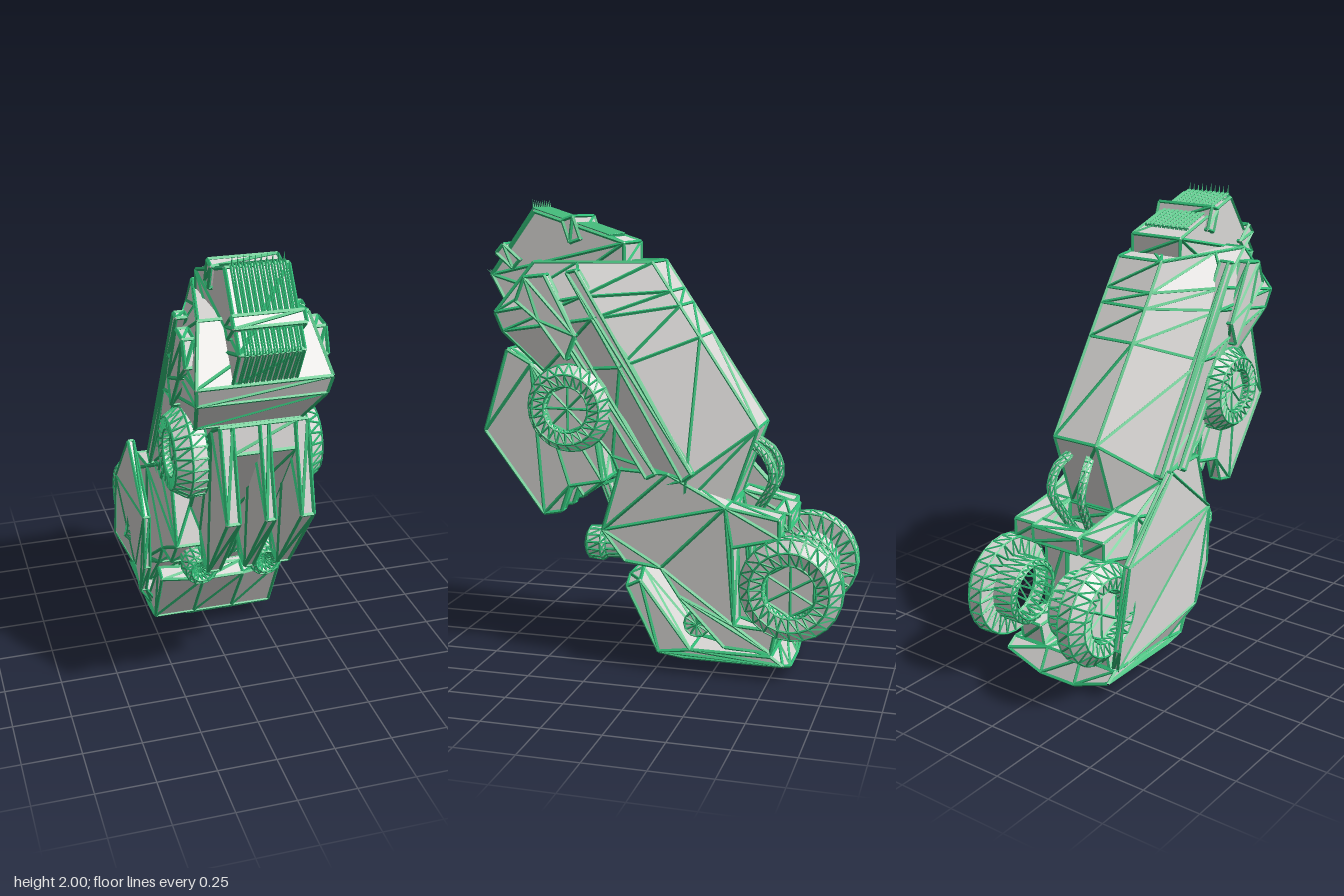
import * as THREE from 'three';
import { mergeGeometries } from 'three/addons/utils/BufferGeometryUtils.js';

const V = (x, y, z) => new THREE.Vector3(x, y, z);

// Flat-shaded copy of a geometry
function flat(geo) {
  const g = geo.index ? geo.toNonIndexed() : geo;
  g.deleteAttribute('uv');
  g.clearGroups();
  g.computeVertexNormals();
  return g;
}

// Thin rods along every triangle edge
function edgeRods(geo, radius) {
  const p = geo.attributes.position, seen = new Set(), rods = [];
  const key = (v) => v.toArray().map((n) => Math.round(n * 1000)).join();
  for (let i = 0; i < p.count; i += 3) {
    for (let k = 0; k < 3; k++) {
      const a = V().fromBufferAttribute(p, i + k);
      const b = V().fromBufferAttribute(p, i + ((k + 1) % 3));
      const id = [key(a), key(b)].sort().join('|');
      const d = b.clone().sub(a), len = d.length();
      if (seen.has(id) || len < 0.002) continue;
      seen.add(id);
      const rod = new THREE.CylinderGeometry(radius, radius, len, 4, 1, true);
      rod.applyQuaternion(new THREE.Quaternion().setFromUnitVectors(V(0, 1, 0), d.normalize()));
      rod.translate((a.x + b.x) / 2, (a.y + b.y) / 2, (a.z + b.z) / 2);
      rods.push(flat(rod));
    }
  }
  return mergeGeometries(rods);
}

// Side outline of [z, y] points, extruded along x
function slab(outline, x0, x1, steps = 1) {
  const shape = new THREE.Shape(outline.map(([z, y]) => new THREE.Vector2(z, y)));
  const g = new THREE.ExtrudeGeometry(shape, { depth: x1 - x0, steps, bevelEnabled: false });
  return g.rotateY(-Math.PI / 2).translate(x1, 0, 0);
}

// Closed body through six-cornered stations: [z, y, halfWidth] for back, middle and front
function loft(stations) {
  const pos = [], idx = [], n = 6;
  for (const [b, m, f] of stations) {
    for (const [s, q] of [[-1, b], [1, b], [1, m], [1, f], [-1, f], [-1, m]]) pos.push(s * q[2], q[1], q[0]);
  }
  for (let r = 0; r < stations.length - 1; r++) {
    for (let i = 0; i < n; i++) {
      const a = r * n + i, b = r * n + ((i + 1) % n);
      idx.push(a, b, b + n, a, b + n, a + n);
    }
  }
  const e = (stations.length - 1) * n;
  for (let i = 1; i < n - 1; i++) idx.push(0, i + 1, i, e, e + i, e + i + 1);
  // Turn the faces outward if the enclosed volume is negative
  let vol = 0;
  const at = (i) => V().fromArray(pos, i * 3);
  for (let i = 0; i < idx.length; i += 3) vol += at(idx[i]).dot(at(idx[i + 1]).cross(at(idx[i + 2])));
  if (vol < 0) idx.reverse();
  const g = new THREE.BufferGeometry();
  g.setAttribute('position', new THREE.Float32BufferAttribute(pos, 3));
  g.setIndex(idx);
  return g;
}

export function createModel() {
  const grey = new THREE.MeshStandardMaterial({ color: 0xd9d7d5 });
  const green = new THREE.MeshStandardMaterial({ color: 0x2fb974 });
  grey.name = 'panel grey';
  green.name = 'edge green';

  const model = new THREE.Group();
  const body = new THREE.Group();
  body.name = 'body';
  body.position.x = 0.02;
  model.add(body);

  // A grey part with its green edging
  function part(name, geo, radius = 0.008, parent = body) {
    const g = flat(geo), group = new THREE.Group();
    group.name = name;
    const panels = new THREE.Mesh(g, grey), edges = new THREE.Mesh(edgeRods(g, radius), green);
    panels.name = name + 'Panels';
    edges.name = name + 'Edges';
    group.add(panels, edges);
    parent.add(group);
  }

  // Main hull, leaning forward: narrow spine, sloping flanks, broad front shoulder
  part('hull', loft([
    [[0.05, 1.74, 0.11], [0.36, 1.74, 0.18], [0.54, 1.74, 0.22]],
    [[-0.03, 1.62, 0.112], [0.32, 1.6, 0.255], [0.70, 1.53, 0.27]],
    [[-0.07, 1.56, 0.112], [0.27, 1.51, 0.265], [0.67, 1.45, 0.26]],
    [[-0.157, 1.43, 0.112], [0.15, 1.31, 0.26], [0.5, 1.28, 0.22]],
    [[-0.41, 1.05, 0.11], [-0.13, 0.84, 0.24], [0.2, 0.92, 0.21]],
    [[-0.3, 0.73, 0.11], [-0.12, 0.73, 0.22], [0.14, 0.76, 0.2]],
  ]));

  // Grille head with slats and cross bars
  part('head', slab([[0.77, 1.68], [0.57, 1.95], [0.17, 1.82], [0.17, 1.72], [0.5, 1.6], [0.69, 1.53]], -0.125, 0.125));
  const slat = [[0.785, 1.68], [0.58, 1.965], [0.24, 1.855], [0.3, 1.7], [0.69, 1.525]];
  for (let i = 0; i < 10; i++) {
    const x = -0.101 + i * 0.0225;
    part('grilleSlat', slab(slat, x - 0.005, x + 0.005), 0.004);
    for (const [z, y, tilt] of [[0.583, 1.975, 0.1], [0.785, 1.685, 0.9]]) {
      const tip = new THREE.Mesh(flat(new THREE.ConeGeometry(0.006, 0.05, 4).rotateX(tilt).translate(x, y, z)), green);
      tip.name = 'slatTip';
      body.add(tip);
    }
  }
  for (const [z, y, tilt] of [[0.4, 1.875, 0.33], [0.69, 1.76, 0.85]]) {
    part('crossBar', new THREE.BoxGeometry(0.28, 0.1, 0.05).rotateX(tilt).translate(0, y, z));
  }

  // Nose: a recessed underside between three deep ribs
  const noseBack = [[0.26, 0.8], [0.3, 1.05], [0.58, 1.3]];
  const rib = [[0.69, 1.36], [0.8, 1.0], [0.53, 0.64], [0.45, 0.655], [0.41, 0.77], ...noseBack];
  part('nosePlate', slab([[0.69, 1.36], [0.71, 1.25], [0.36, 0.72], ...noseBack], -0.13, 0.13));
  part('noseCentreRib', slab(rib, -0.018, 0.018));

  for (const s of [-1, 1]) {
    const span = (a, b) => (s > 0 ? [a, b] : [-b, -a]);
    const side = s > 0 ? 'left' : 'right';

    part(side + 'NoseRib', slab(rib, ...span(0.125, 0.175)));

    // Long parallel rails lying on the flank, and the shoulder guard
    part(side + 'UpperRail', slab([[0.38, 1.7], [0.34, 1.71], [-0.16, 0.87], [-0.12, 0.84]], ...span(0.22, 0.262)));
    part(side + 'LowerRail', slab([[0.53, 1.62], [0.49, 1.64], [0.0, 0.86], [0.04, 0.84]], ...span(0.2, 0.25)));
    part(side + 'ShoulderGuard', slab([[0.56, 1.68], [0.47, 1.69], [0.34, 1.44], [0.38, 1.34], [0.5, 1.5], [0.6, 1.58]], ...span(0.24, 0.285)));

    // Lower arms on either side of the open channel
    part(side + 'LowerArm', slab([[0.16, 0.87], [0.24, 0.6], [0.14, 0.47], [-0.02, 0.45], [-0.1, 0.33], [-0.3, 0.12], [-0.5, 0.11],
      [-0.52, 0.21], [-0.34, 0.22], [-0.33, 0.56], [-0.53, 0.61], [-0.53, 0.69], [-0.3, 0.73], [-0.05, 0.86]], ...span(0.12, 0.235)));

    // Upper wheel: hub dish inside a broad tyre
    const place = (geo, z, y) => geo.rotateZ(-s * Math.PI / 2).translate(0, y, z);
    const turn = (pts, n) => new THREE.LatheGeometry(pts.map(([r, h]) => new THREE.Vector2(r, h)), n);
    part(side + 'UpperWheel', place(turn([[0.11, 0.17], [0.185, 0.18], [0.187, 0.245], [0.15, 0.305], [0.1, 0.3], [0.095, 0.26]], 24), 0.38, 1.127), 0.005);
    part(side + 'UpperHub', place(new THREE.CylinderGeometry(0.1, 0.11, 0.1, 8).translate(0, 0.22, 0), 0.38, 1.127), 0.006);

    // Rear wheel: tyre with a narrower inner drum
    part(side + 'RearWheel', place(turn([[0.135, 0.2], [0.215, 0.205], [0.218, 0.265], [0.17, 0.31], [0.115, 0.3], [0.11, 0.26]], 24), -0.587, 0.405), 0.005);
    part(side + 'RearDrum', place(turn([[0.12, 0.09], [0.14, 0.1], [0.14, 0.21]], 24), -0.587, 0.405), 0.005);
    part(side + 'RearHubCap', place(new THREE.CircleGeometry(0.115, 6).rotateX(-Math.PI / 2).translate(0, 0.265, 0), -0.587, 0.405), 0.006);

    // Forward lamp barrel with flared mouth
    part(side + 'LampBarrel', turn([[0.055, -0.17], [0.06, 0.08], [0.075, 0.1], [0.07, 0.16], [0.05, 0.172], [0.03, 0.15], [0, 0.14]], 14)
      .rotateX(Math.PI / 2).translate(s * 0.145, 0.52, 0.16), 0.005);
    part(side + 'PistonTube', new THREE.CylinderGeometry(0.035, 0.04, 0.19, 10).rotateX(0.4).translate(s * 0.085, 0.69, 0.22), 0.005);

    // Hose from the hull's lower end down through the channel
    const hose = new THREE.CatmullRomCurve3([V(s * 0.05, 0.98, -0.37), V(s * 0.075, 0.93, -0.44), V(s * 0.08, 0.83, -0.475), V(s * 0.06, 0.7, -0.41),
      V(s * 0.03, 0.5, -0.28), V(s * 0.05, 0.35, -0.16), V(s * 0.08, 0.2, -0.16)]);
    part(side + 'Hose', new THREE.TubeGeometry(hose, 22, 0.018, 6), 0.004);
  }

  // Cross plates closing the upper part of the channel, and the lower axle
  part('channelPlate', slab([[0.14, 0.84], [0.16, 0.74], [-0.3, 0.64], [-0.3, 0.72]], -0.12, 0.12));
  part('rearBridge', slab([[-0.49, 0.7], [-0.555, 0.69], [-0.55, 0.62], [-0.49, 0.62]], -0.12, 0.12));
  part('lowerAxle', new THREE.CylinderGeometry(0.055, 0.055, 0.4, 12).rotateZ(Math.PI / 2).translate(0, 0.2, -0.17), 0.005);

  // Scoop-shaped skid shield, its bottom bent up and its front bent back at the ends
  const shield = slab([[0.16, 0.37], [-0.02, 0.09], [-0.13, 0.01], [-0.56, 0.01], [-0.51, 0.11], [-0.16, 0.11], [0.1, 0.4]], -0.275, 0.275, 3);
  const p = shield.attributes.position;
  for (let i = 0; i < p.count; i++) {
    if (Math.abs(p.getX(i)) < 0.2) continue;
    if (p.getY(i) < 0.05) p.setY(i, 0.075);
    if (p.getZ(i) > 0) p.setZ(i, p.getZ(i) - 0.04);
  }
  part('skidShield', shield);

  // Tall guard plate on one side only, its foot curling under to meet the shield
  const guard = slab([[-0.2, 0.92], [0.09, 0.68], [0.08, 0.42], [-0.01, 0.25], [-0.12, 0.1], [-0.48, 0.09], [-0.57, 0.25], [-0.5, 0.6]], -0.325, -0.3);
  const q = guard.attributes.position;
  for (let i = 0; i < q.count; i++) q.setX(i, q.getX(i) + 0.5 * Math.max(0, 0.25 - q.getY(i)));
  part('sideGuard', guard, 0.007, model);

  return model;
}
